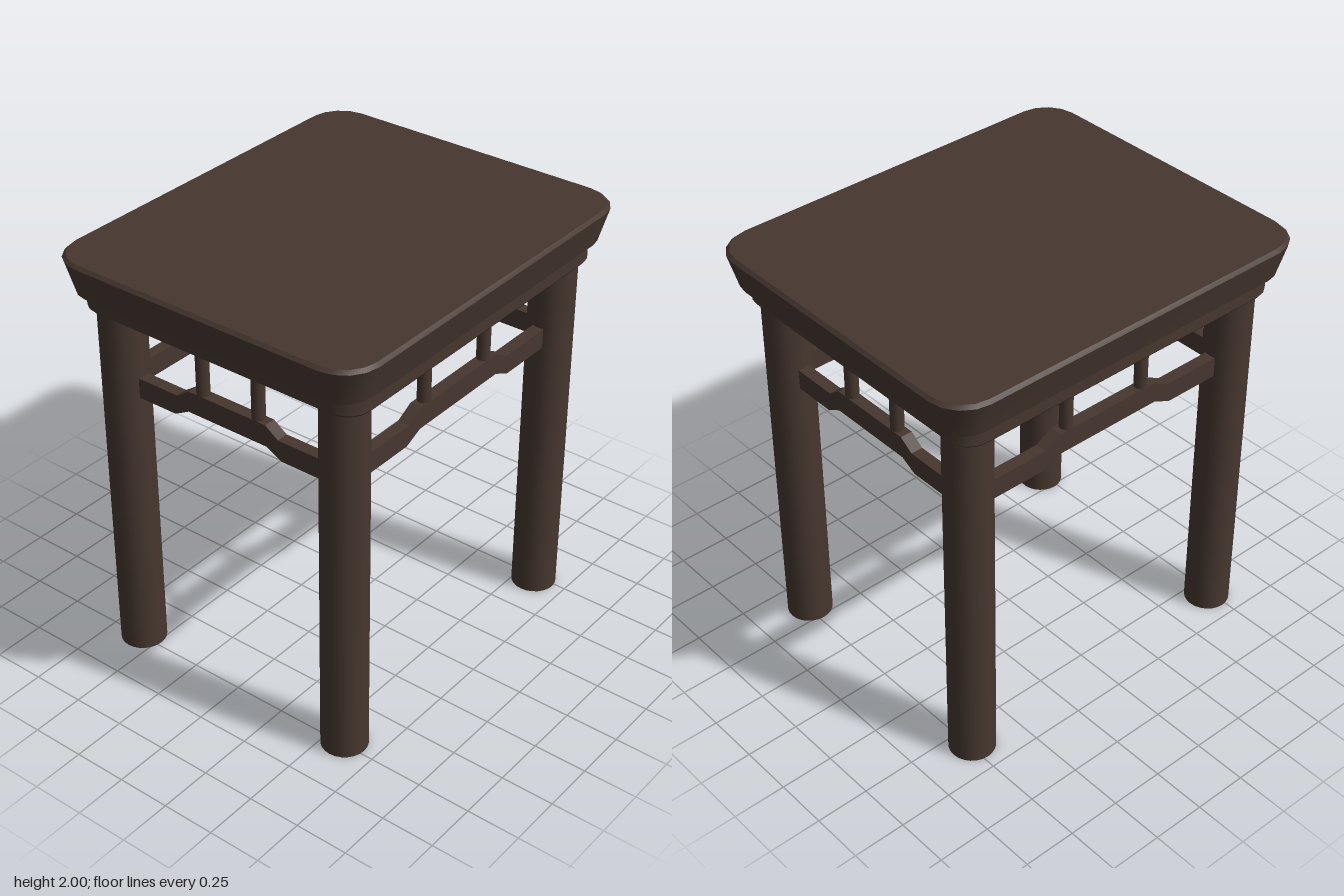
import * as THREE from 'three';
import { toCreasedNormals } from 'three/addons/utils/BufferGeometryUtils.js';

const LEG_X = 0.73, LEG_Z = 0.587;

// Rounded-rectangle slab lofted through levels of [halfX, halfZ, cornerRadius, y], bottom to top
function slab(levels, steps = 4) {
  const pos = [], idx = [], n = 4 * (steps + 1);
  for (const [hx, hz, r, y] of levels) {
    for (let c = 0; c < 4; c++) {
      const sx = c === 0 || c === 3 ? 1 : -1, sz = c < 2 ? 1 : -1;
      for (let s = 0; s <= steps; s++) {
        const a = (c + s / steps) * Math.PI / 2;
        pos.push(sx * (hx - r) + r * Math.cos(a), y, sz * (hz - r) + r * Math.sin(a));
      }
    }
  }
  const top = (levels.length - 1) * n, low = levels.length * n;
  pos.push(0, levels[0][3], 0, 0, levels[levels.length - 1][3], 0);
  for (let i = 0; i < n; i++) {
    const j = (i + 1) % n;
    for (let k = 0; k < top; k += n) idx.push(k + i, k + n + i, k + j, k + j, k + n + i, k + n + j);
    idx.push(low, i, j, low + 1, top + j, top + i);
  }
  const g = new THREE.BufferGeometry();
  g.setAttribute('position', new THREE.Float32BufferAttribute(pos, 3));
  g.setIndex(idx);
  return toCreasedNormals(g, 0.5);
}

// Humped stretcher: low at the ends, raised in the middle between the bends
function stretcher(half, outer, inner) {
  const right = [[inner, 1.38], [outer, 1.34], [half, 1.34], [half, 1.435], [outer - 0.015, 1.435], [inner - 0.005, 1.48]];
  const left = right.map(([x, y]) => [-x, y]).reverse();
  const shape = new THREE.Shape([...right, ...left].map(p => new THREE.Vector2(...p)));
  const g = new THREE.ExtrudeGeometry(shape, { depth: 0.056, bevelEnabled: false });
  return g.translate(0, 0, -0.028);
}

export function createModel() {
  const model = new THREE.Group();
  model.name = 'stool';
  const wood = new THREE.MeshStandardMaterial({ color: 0x46372f });
  wood.name = 'dark wood';
  const add = (name, geometry, parent = model) => {
    const mesh = new THREE.Mesh(geometry, wood);
    mesh.name = name;
    parent.add(mesh);
    return mesh;
  };

  // Seat flares outward towards the top and has a softened rim
  add('seat', slab([
    [0.902, 0.748, 0.13, 1.83],
    [0.944, 0.79, 0.165, 1.985],
    [0.93, 0.776, 0.155, 2.0],
  ]));

  // Apron slab under the seat
  add('apron', slab([
    [0.845, 0.715, 0.1, 1.74],
    [0.853, 0.722, 0.105, 1.75],
    [0.853, 0.722, 0.105, 1.831],
  ]));

  // Four round legs
  const legGeo = new THREE.CylinderGeometry(0.104, 0.105, 1.745, 24);
  for (const sx of [1, -1]) for (const sz of [1, -1]) {
    const leg = add((sz > 0 ? 'front' : 'back') + (sx > 0 ? 'Left' : 'Right') + 'Leg', legGeo);
    leg.position.set(sx * LEG_X, 0.8725, sz * LEG_Z);
  }

  // One stretcher with its two struts on each side
  const postGeo = new THREE.CylinderGeometry(0.03, 0.03, 0.29, 12);
  const long = stretcher(LEG_X - 0.06, 0.36, 0.27);
  const short = stretcher(LEG_Z - 0.06, 0.285, 0.21);
  const sides = [
    ['front', long, 0.21, 0, LEG_Z, 0], ['back', long, 0.21, 0, -LEG_Z, Math.PI],
    ['left', short, 0.148, LEG_X, 0, Math.PI / 2], ['right', short, 0.148, -LEG_X, 0, -Math.PI / 2],
  ];
  for (const [name, geo, postX, x, z, turn] of sides) {
    const side = new THREE.Group();
    side.name = name + 'Rail';
    side.position.set(x, 0, z);
    side.rotation.y = turn;
    add(name + 'Stretcher', geo, side);
    for (const s of [-1, 1]) add(name + 'Strut', postGeo, side).position.set(s * postX, 1.605, 0);
    model.add(side);
  }
  return model;
}
